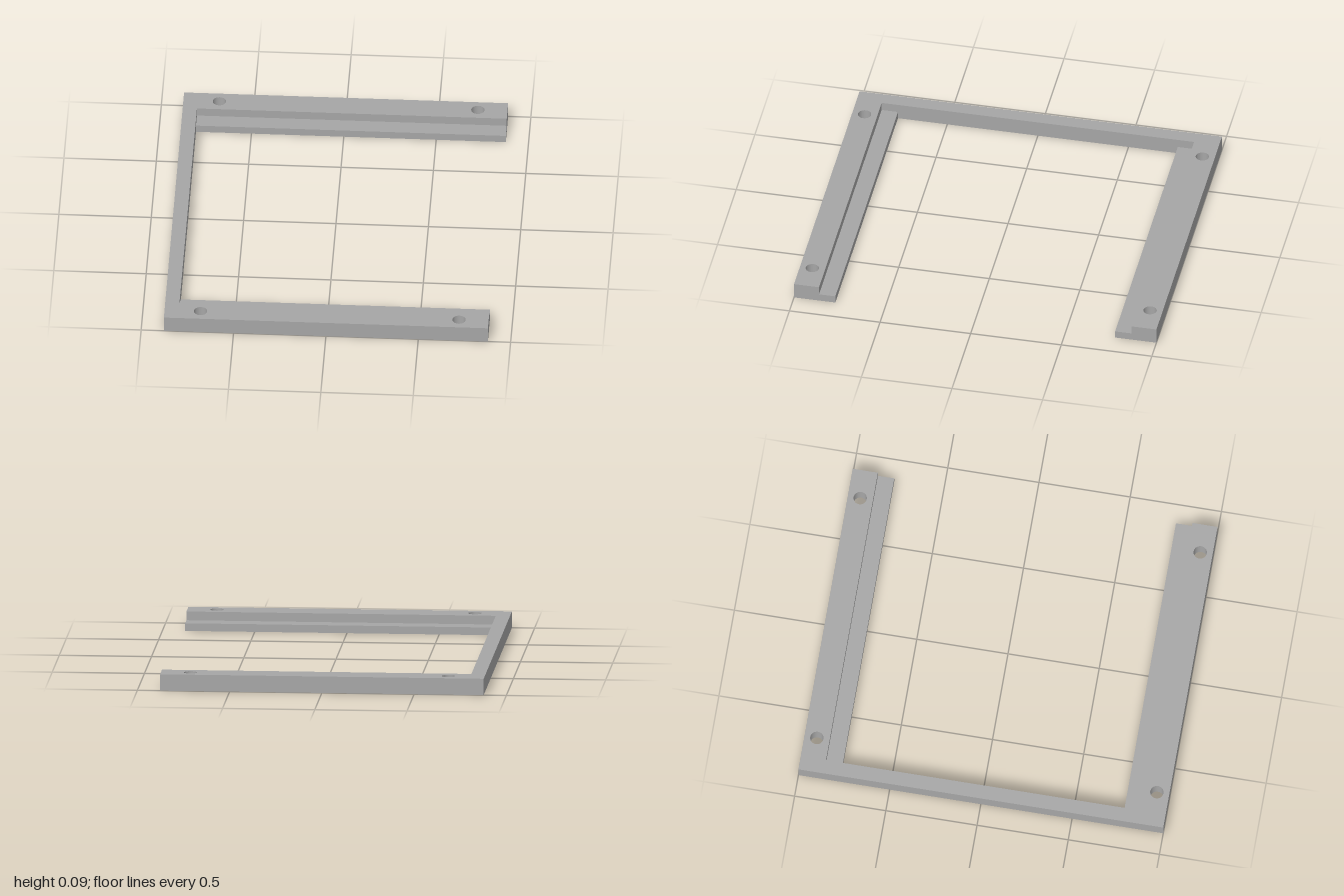
import * as THREE from 'three';

export function createModel() {
  const model = new THREE.Group();
  model.name = 'slottedFrame';
  const grey = new THREE.MeshStandardMaterial({ color: 0xa6a6a6 });
  grey.name = 'grey';

  const X = 0.877, Z = 1, HEIGHT = 0.09;
  const innerX = -0.8, innerZ = 0.862;
  const ledgeZ = 0.772, ledgeHeight = 0.042;

  // C-shaped frame, open towards +x, with four screw holes
  const outline = new THREE.Shape([
    [-X, -Z], [X, -Z], [X, -innerZ], [innerX, -innerZ],
    [innerX, innerZ], [X, innerZ], [X, Z], [-X, Z],
  ].map(([x, z]) => new THREE.Vector2(x, z)));
  for (const x of [-0.682, 0.717]) {
    for (const z of [-0.932, 0.932]) {
      outline.holes.push(new THREE.Path().absarc(x, z, 0.036, 0, Math.PI * 2, true));
    }
  }
  const frameGeometry = new THREE.ExtrudeGeometry(outline, {
    depth: HEIGHT, bevelEnabled: false, curveSegments: 32,
  });
  frameGeometry.rotateX(-Math.PI / 2);
  const frame = new THREE.Mesh(frameGeometry, grey);
  frame.name = 'frame';
  model.add(frame);

  // Low ledge along the inside of each rail
  for (const [name, side] of [['frontLedge', 1], ['backLedge', -1]]) {
    const ledge = new THREE.Mesh(
      new THREE.BoxGeometry(X - innerX, ledgeHeight, innerZ - ledgeZ), grey);
    ledge.name = name;
    ledge.position.set((X + innerX) / 2, ledgeHeight / 2, side * (innerZ + ledgeZ) / 2);
    model.add(ledge);
  }
  return model;
}
